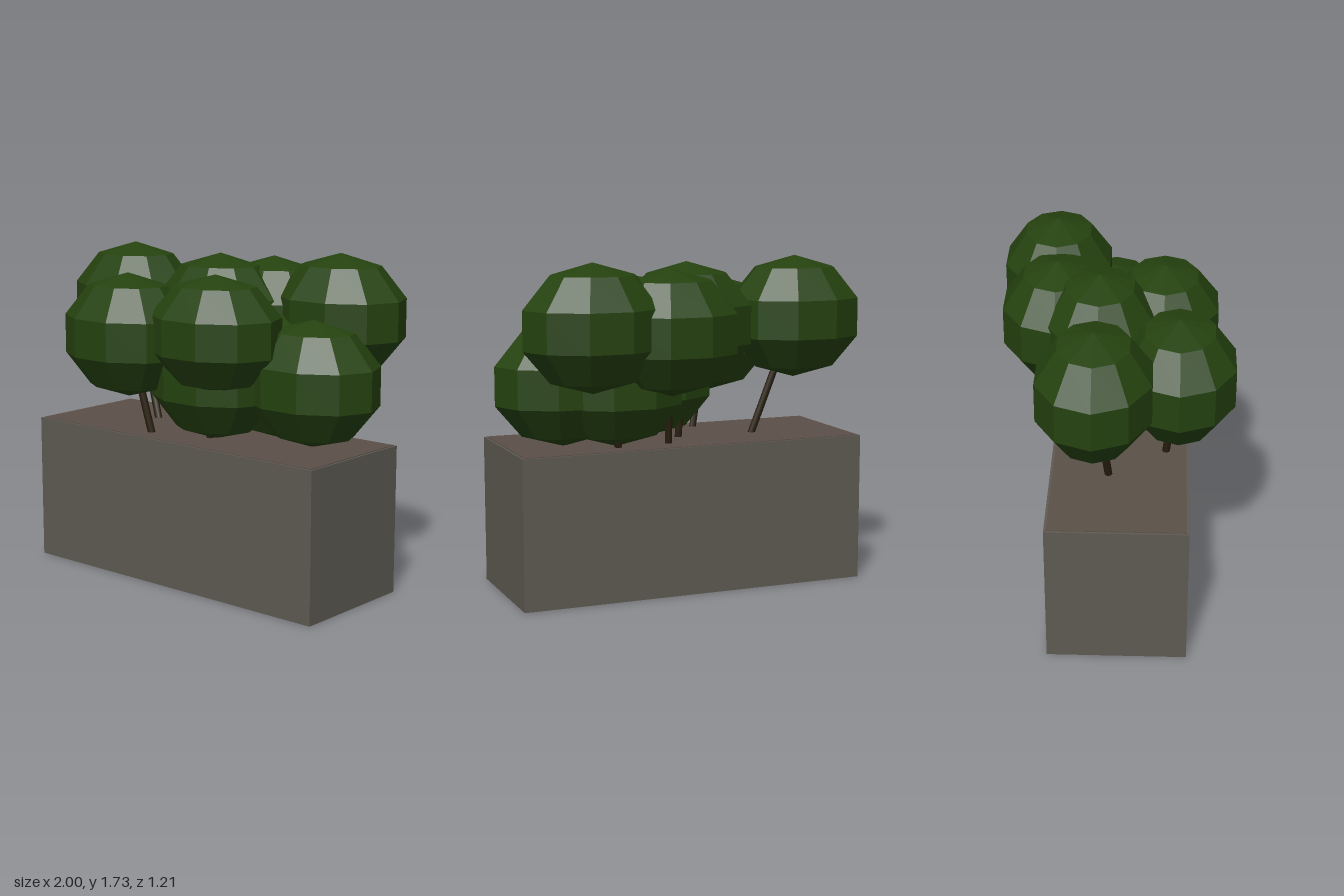
import * as THREE from 'three';

const mat = (name, color, flatShading = false) => {
  const m = new THREE.MeshStandardMaterial({ color, flatShading });
  m.name = name;
  return m;
};

export function createModel() {
  const stone = mat('stone', 0x5e5a52);
  const soilBrown = mat('soil brown', 0x5a5048);
  const bark = mat('bark', 0x2a200f);
  const leaf = mat('leaf green', 0x25420f, true);

  const model = new THREE.Group();
  model.name = 'planterWithShrubs';
  const add = (name, geometry, material, parent = model) => {
    const mesh = new THREE.Mesh(geometry, material);
    mesh.name = name;
    parent.add(mesh);
    return mesh;
  };

  // Planter block, with a thin soil sheet on top
  add('planter', new THREE.BoxGeometry(1.875, 0.776, 0.71), stone).position.set(0.0125, 0.388, 0.025);
  add('soil', new THREE.BoxGeometry(1.85, 0.006, 0.685), soilBrown).position.set(0.0125, 0.777, 0.025);

  // Trunk between two points
  const up = new THREE.Vector3(0, 1, 0);
  const addTrunk = (parent, from, to) => {
    const dir = to.clone().sub(from);
    const trunk = add('trunk', new THREE.CylinderGeometry(0.02, 0.02, dir.length(), 8), bark, parent);
    trunk.position.copy(from).add(to).multiplyScalar(0.5);
    trunk.quaternion.setFromUnitVectors(up, dir.normalize());
  };

  // Shrubs: crown centre x, y, z, then trunk base x, z where there is a trunk
  const crownGeometry = new THREE.SphereGeometry(1, 10, 5).scale(0.379, 0.325, 0.309);
  const shrubs = [
    [-0.64, 1.405, -0.09, -0.42, -0.03],
    [0.58, 1.405, -0.33, 0.4, -0.2],
    [-0.305, 1.295, 0.32, -0.2, 0.26],
    [0.225, 1.34, 0.24, 0.12, 0.16],
    [0.16, 1.365, -0.31, 0.12, -0.18],
    [-0.02, 1.385, -0.085, 0, -0.02],
    [0.64, 1.1, -0.03],
    [0.125, 1.095, 0.12],
    [0.38, 1.095, -0.11],
  ];
  shrubs.forEach(([x, y, z, bx, bz], i) => {
    const shrub = new THREE.Group();
    shrub.name = `shrub${i + 1}`;
    model.add(shrub);
    const crown = add('crown', crownGeometry, leaf, shrub);
    crown.position.set(x, y, z);
    if (i === 3) crown.scale.y = 0.93;
    if (bx !== undefined) {
      addTrunk(shrub, new THREE.Vector3(bx, 0.77, bz), new THREE.Vector3(x, y, z));
    }
  });

  return model;
}
